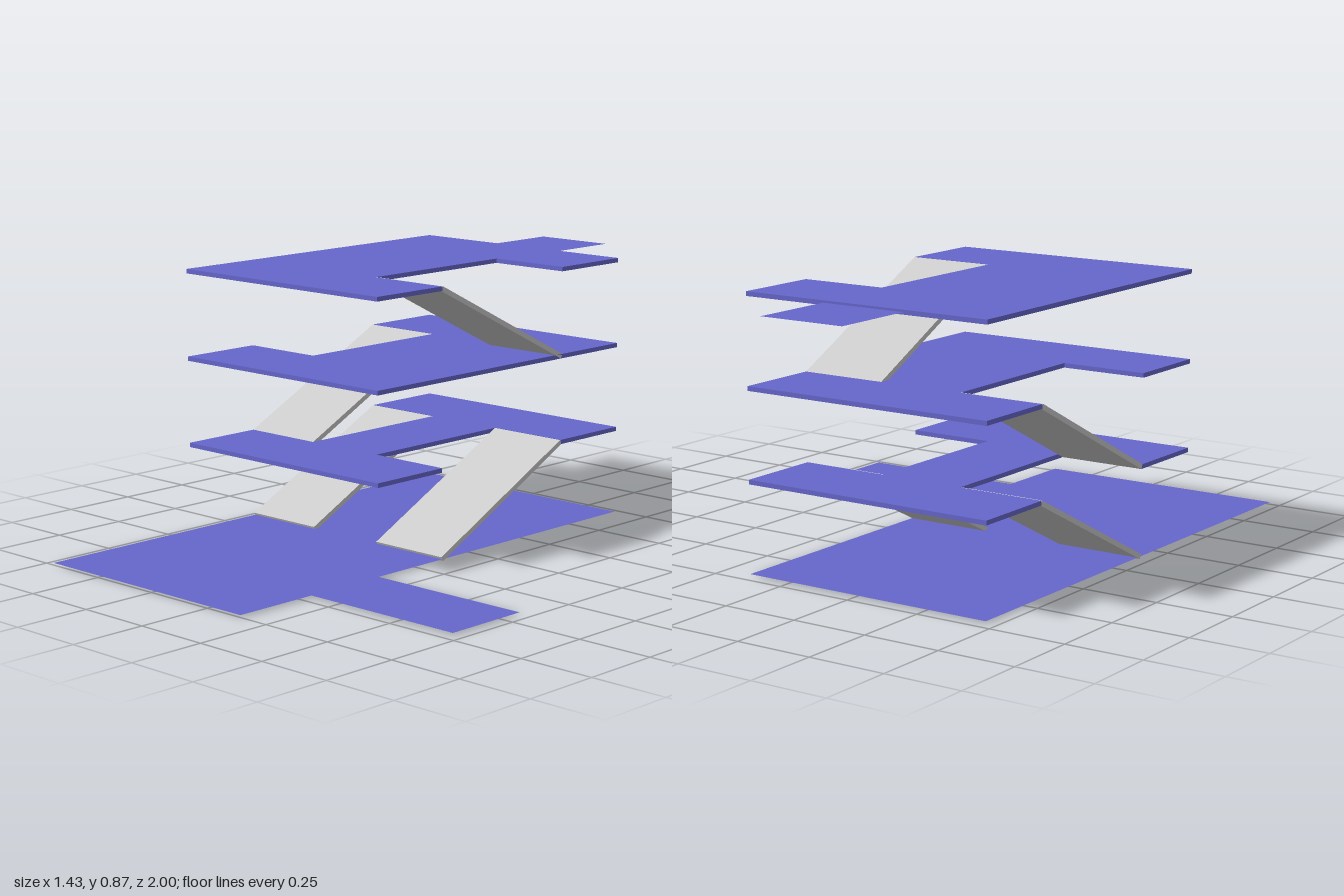
import * as THREE from 'three';

const U = 1 / 7;            // planning grid
const BASE = 0.007;         // ground level
const SLAB = 0.0143;        // deck thickness
const RAMP = 0.016;         // ramp thickness
const STOREY = 2 * U;

export function createModel() {
  const model = new THREE.Group();
  model.name = 'parkingGarage';
  const blue = new THREE.MeshStandardMaterial({ color: 0x6666cc, flatShading: true });
  const blueSheet = new THREE.MeshStandardMaterial({ color: 0x6666cc, flatShading: true, side: THREE.DoubleSide });
  const grey = new THREE.MeshStandardMaterial({ color: 0xcccccc, flatShading: true });

  const add = (name, geometry, material, y) => {
    const mesh = new THREE.Mesh(geometry, material);
    mesh.name = name;
    mesh.position.y = y;
    model.add(mesh);
    return mesh;
  };

  // Outline given as (x, z) grid points
  const outline = (points) => new THREE.Shape(points.map(([x, z]) => new THREE.Vector2(x * U, z * U)));
  const sheet = (name, points, y) =>
    add(name, new THREE.ShapeGeometry(outline(points)).rotateX(Math.PI / 2), blueSheet, y);

  // Deck slab with an optional ramp opening cut into either side
  const deck = (name, level, openLeft, openRight) => {
    const points = [[-5, -5], [1, -5]];
    if (openLeft) points.push([1, -3], [-1, -3], [-1, 1], [1, 1]);
    points.push([1, 3], [-5, 3]);
    if (openRight) points.push([-5, 1], [-3, 1], [-3, -3], [-5, -3]);
    const geometry = new THREE.ExtrudeGeometry(outline(points), { depth: SLAB, bevelEnabled: false });
    geometry.rotateX(Math.PI / 2).translate(0, SLAB / 2, 0);
    add(name, geometry, blue, BASE + level * STOREY);
  };

  // Sloping ramp between two storeys; direction 1 climbs to the back, -1 to the front
  const ramp = (name, x, level, direction) => {
    const geometry = new THREE.BoxGeometry(2 * U, RAMP, Math.hypot(4, 2) * U);
    const mesh = add(name, geometry, grey, BASE + (level + 0.5) * STOREY);
    mesh.position.x = x * U;
    mesh.position.z = -U;
    mesh.rotation.x = direction * Math.atan2(2, 4);
  };

  // Ground with its side driveway
  sheet('ground', [[-5, -5], [1, -5], [1, 3], [5, 3], [5, 5], [1, 5], [1, 7], [-5, 7]], BASE);

  // Three parking decks
  deck('lowerDeck', 1, true, true);
  deck('middleDeck', 2, false, true);
  deck('upperDeck', 3, true, false);

  // Exit tab behind the upper deck
  sheet('upperExit', [[-3, -7], [-1, -7], [-1, -5], [-3, -5]], BASE + 3 * STOREY);

  // Ramps
  ramp('rightLowerRamp', -4, 0, 1);
  ramp('rightMiddleRamp', -4, 1, 1);
  ramp('leftLowerRamp', 0, 0, 1);
  ramp('leftUpperRamp', 0, 2, -1);

  return model;
}
